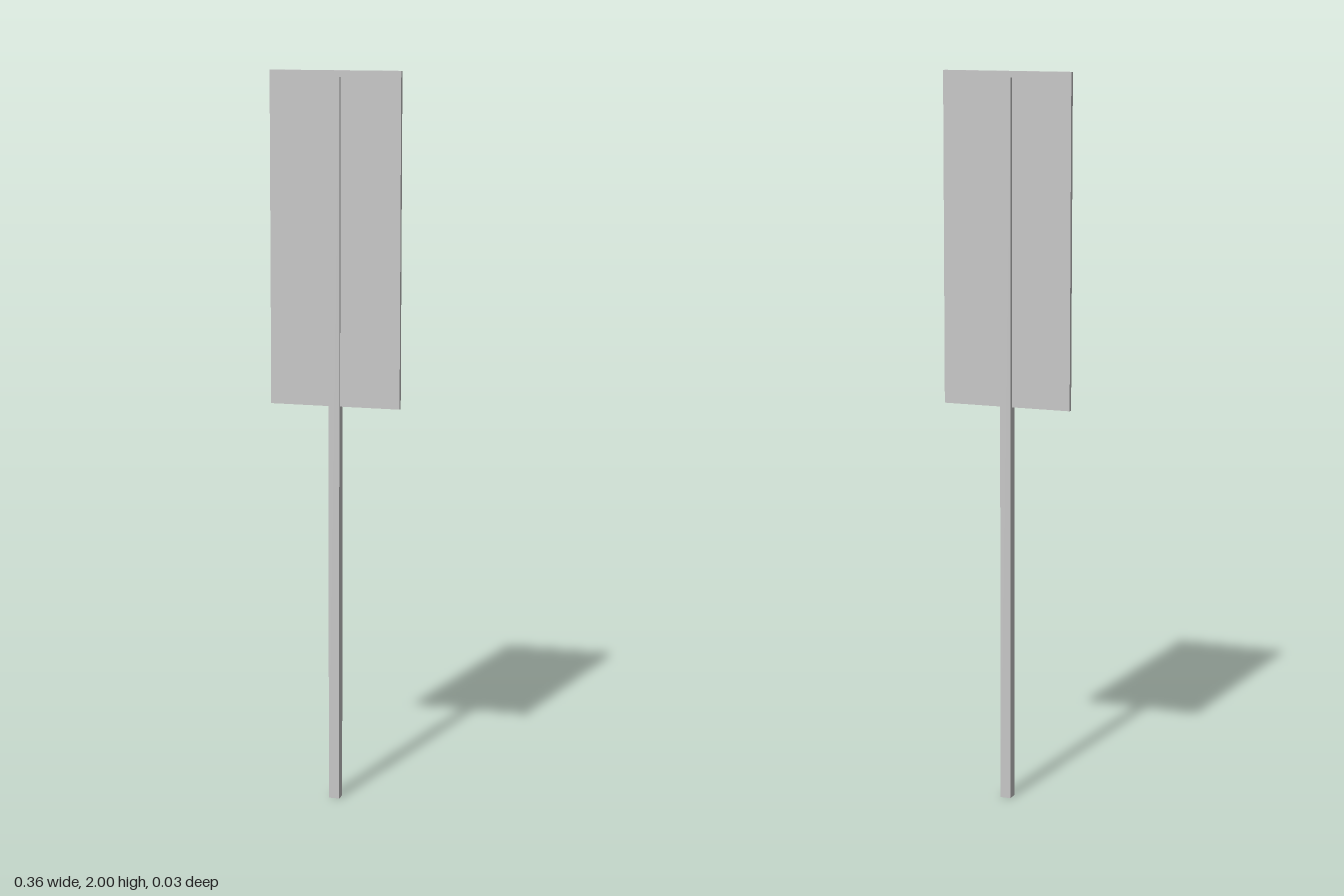
import * as THREE from 'three';

export function createModel() {
  const model = new THREE.Group();
  model.name = 'signPost';

  const grey = new THREE.MeshStandardMaterial({ color: 0xc7c7c7 });
  grey.name = 'light grey';

  // Adds a box standing on the height y0 and centred on the post axis
  const addBox = (name, width, depth, y0, y1) => {
    const mesh = new THREE.Mesh(new THREE.BoxGeometry(width, y1 - y0, depth), grey);
    mesh.name = name;
    mesh.position.y = (y0 + y1) / 2;
    model.add(mesh);
  };

  // Square post, ending just below the top of the panel
  addBox('post', 0.03, 0.03, 0, 1.983);
  // Thin rectangular sign panel through which the post runs
  addBox('signPanel', 0.361, 0.012, 1.104, 2);

  return model;
}
